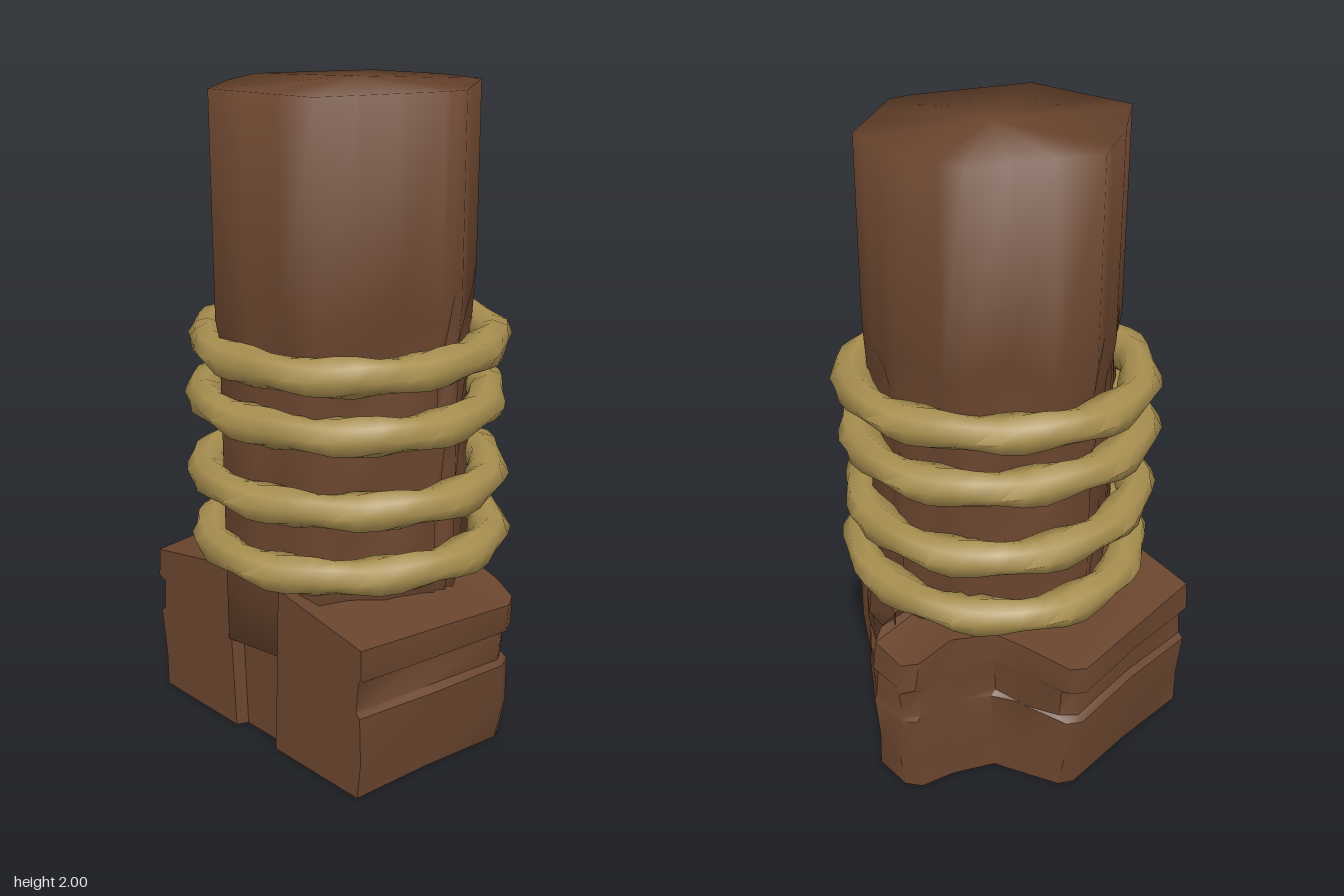
import * as THREE from 'three';
import { toCreasedNormals } from 'three/addons/utils/BufferGeometryUtils.js';

const wood = new THREE.MeshStandardMaterial({ color: 0x6a452e });
wood.name = 'dark brown wood';
const rope = new THREE.MeshStandardMaterial({ color: 0xa78e4f });
rope.name = 'straw rope';

// Skin a stack of closed rings ([x, y, z] points, turning from +x to +z), with end caps.
function loft(rings, topCentre, bottomCentre, crease) {
  const n = rings[0].length;
  const positions = [...rings.flat(), bottomCentre, topCentre].flat();
  const bottom = rings.length * n, top = bottom + 1, last = bottom - n;
  const index = [];
  for (let i = 0; i < n; i++) {
    const j = (i + 1) % n;
    for (let r = 0; r < rings.length - 1; r++) {
      const a = r * n + i, b = r * n + j;
      index.push(a, a + n, b, b, a + n, b + n);
    }
    index.push(top, last + j, last + i, bottom, i, j);
  }
  const geometry = new THREE.BufferGeometry();
  geometry.setAttribute('position', new THREE.Float32BufferAttribute(positions, 3));
  geometry.setIndex(index);
  return toCreasedNormals(geometry, crease);
}

// Split each edge of an outline so that its faces can be carved.
function subdivide(outline, parts) {
  return outline.flatMap(([x, z], i) => {
    const [x2, z2] = outline[(i + 1) % outline.length];
    return Array.from({ length: parts }, (_, k) => [x + (x2 - x) * k / parts, z + (z2 - z) * k / parts]);
  });
}

// Tall post: softly shaded trunk, straight above and carved with grooves at the waist.
function makePost() {
  const outline = subdivide([
    [0.395, -0.045], [0.385, 0.03], [0.25, 0.39], [-0.12, 0.445],
    [-0.28, 0.25], [-0.408, 0.04], [-0.25, -0.315], [0, -0.368], [0.19, -0.335],
  ], 3);
  const levels = [0.3, 0.6, 0.72, 0.84, 0.95, 1.06, 1.17, 1.27, 1.38, 1.985];
  const rings = levels.map((y, r) => outline.map(([x, z], i) => {
    const waist = y < 1.35 ? 1 : 0;
    const groove = i % 3 === 0 ? 0.025 : 0.055 + 0.045 * Math.sin(i * 2.3 + r * 1.7);
    const s = 1 - waist * groove;
    const rise = y === 1.38 ? 0.05 * Math.sin(i * 1.9) : 0;
    return [x * s, y + rise, z * s];
  }));
  return loft(rings, [0, 2, 0], [0, 0.3, 0], 1.7);
}

// Wide foot: recessed front wedge, two layered side blocks and a narrow back buttress.
function makeFoot() {
  const outline = [
    [0.555, -0.11], [0.515, 0.16], [0.475, 0.43], [0.12, 0.43], [0.1, 0.395],
    [-0.1, 0.395], [-0.12, 0.43], [-0.475, 0.43], [-0.515, 0.16], [-0.555, -0.11],
    [-0.53, -0.155], [-0.38, -0.21], [-0.29, -0.25], [-0.235, -0.38], [-0.215, -0.49],
    [-0.17, -0.525], [-0.04, -0.52], [-0.02, -0.48], [-0.03, -0.43], [0.14, -0.39],
    [0.27, -0.31], [0.32, -0.21], [0.44, -0.19], [0.53, -0.155],
  ];
  // Height fraction, width of the side layers, reach of the buttress.
  const layers = [
    [0, 0.93, 0.98], [0.24, 0.96, 0.99], [0.55, 0.98, 1], [0.58, 0.935, 0.98],
    [0.78, 0.925, 0.985], [0.81, 1, 1], [1, 1, 0.98],
  ];
  const rings = layers.map(([t, side, back], r) => outline.map(([x, z], i) => {
    const height = 0.55 - Math.max(0, Math.abs(x) - 0.12) * 0.18 - Math.max(0, -z - 0.42) * 0.7;
    const isSide = Math.abs(x) > 0.4;
    const chip = r > 0 && r < 6 ? 0.008 * Math.sin(i * 2.7 + r * 2.1) : 0;
    const taper = z > 0.3 && Math.abs(x) < 0.2 ? 0.8 + 0.2 * t : 1;
    const sx = isSide ? (z > 0.4 ? (side + 1) / 2 : side) : taper;
    return [x * sx + (isSide ? chip : 0), height * t, z < -0.2 ? z * back + chip : z];
  }));
  return loft(rings, [0, 0.55, 0], [0, 0, 0], 0.75);
}

// Rope hoop: a torus whose section is a soft twisted lobed shape.
function makeHoop(seed) {
  const R = 0.434, tube = 0.054, segments = 44, sides = 8;
  const geometry = new THREE.TorusGeometry(R, tube, sides, segments);
  const p = geometry.attributes.position;
  for (let i = 0; i < p.count; i++) {
    const u = (i % (segments + 1)) / segments * Math.PI * 2;
    const v = Math.floor(i / (segments + 1)) / sides * Math.PI * 2;
    const r = tube * (1 + 0.17 * Math.cos(2 * v + 9 * u + seed));
    const ring = R + 0.01 * Math.sin(3 * u + seed) + r * Math.cos(v) * 1.08;
    p.setXYZ(i, ring * Math.cos(u), r * Math.sin(v), -ring * Math.sin(u));
  }
  return toCreasedNormals(geometry, 1.4);
}

export function createModel() {
  const model = new THREE.Group();
  model.name = 'ropedPost';
  const add = (name, geometry, material) => {
    const mesh = new THREE.Mesh(geometry, material);
    mesh.name = name;
    model.add(mesh);
    return mesh;
  };
  add('post', makePost(), wood);
  add('foot', makeFoot(), wood);
  [0.62, 0.825, 1.055, 1.23].forEach((y, i) => {
    const hoop = add('ropeHoop' + (i + 1), makeHoop(i * 1.3), rope);
    hoop.position.set(0, y, 0.025);
  });
  return model;
}
